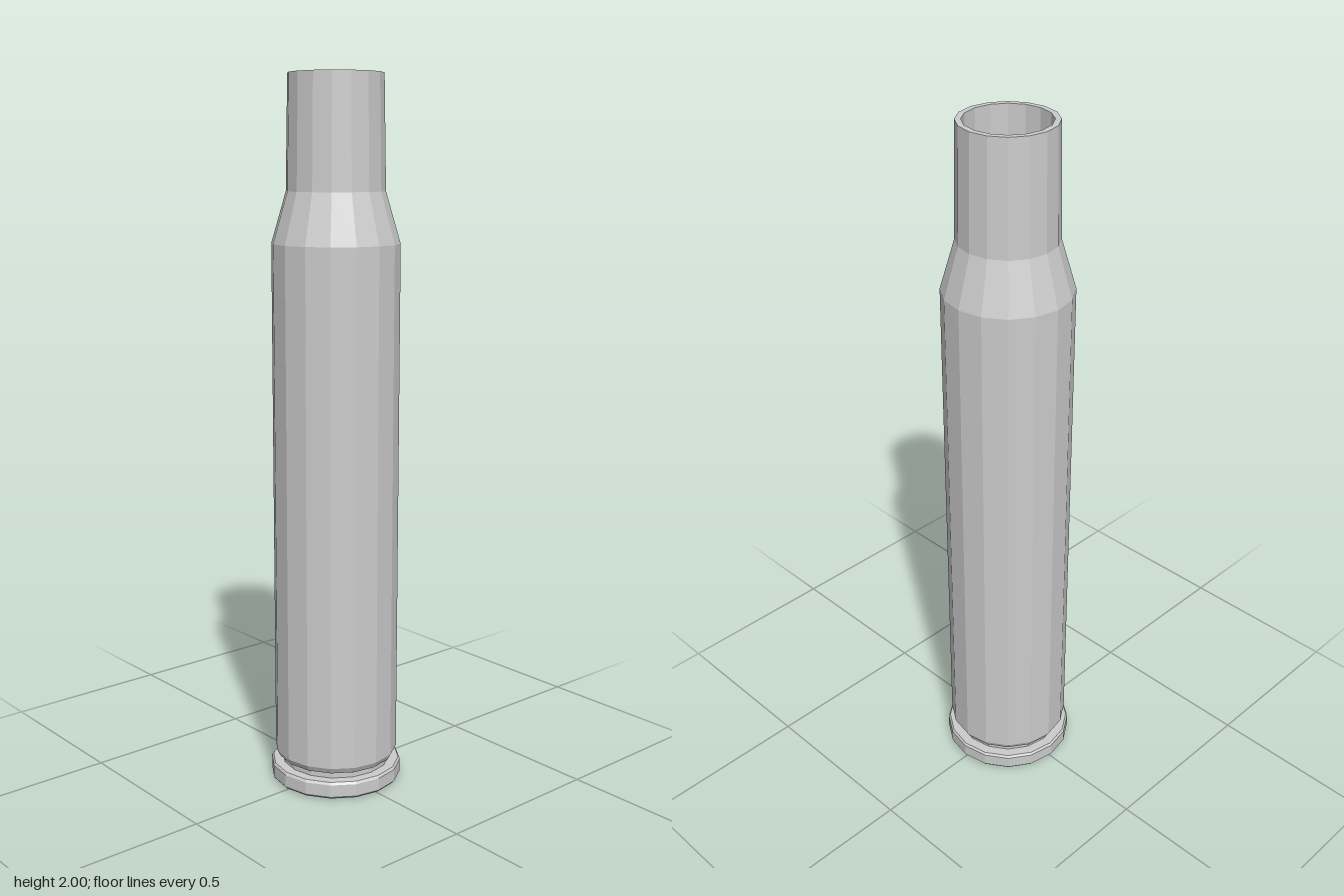
import * as THREE from 'three';

const SIDES = 16;

// Faceted solid of revolution; the profile runs up the outside and down the inside
function turned(name, profile) {
  const points = profile.map(([r, y]) => new THREE.Vector2(r, y));
  const material = new THREE.MeshStandardMaterial({ color: 0xcccccc, flatShading: true });
  const mesh = new THREE.Mesh(new THREE.LatheGeometry(points, SIDES), material);
  mesh.name = name;
  return mesh;
}

export function createModel() {
  const model = new THREE.Group();
  model.name = 'bottleneckCase';

  model.add(turned('case', [
    // base and rim
    [0, 0.004], [0.184, 0.004], [0.189, 0.01], [0.189, 0.046], [0.184, 0.053],
    // extractor groove
    [0.156, 0.053], [0.156, 0.068], [0.168, 0.073], [0.177, 0.09],
    // body, shoulder and neck
    [0.177, 1.55], [0.136, 1.69], [0.13, 2],
    // mouth and hollow inside
    [0.114, 2], [0.119, 1.69], [0.16, 1.55], [0.16, 0.1], [0, 0.1],
  ]));

  // round cap set in the base, standing slightly proud
  model.add(turned('primer', [[0, 0], [0.075, 0], [0.075, 0.006]]));

  return model;
}
